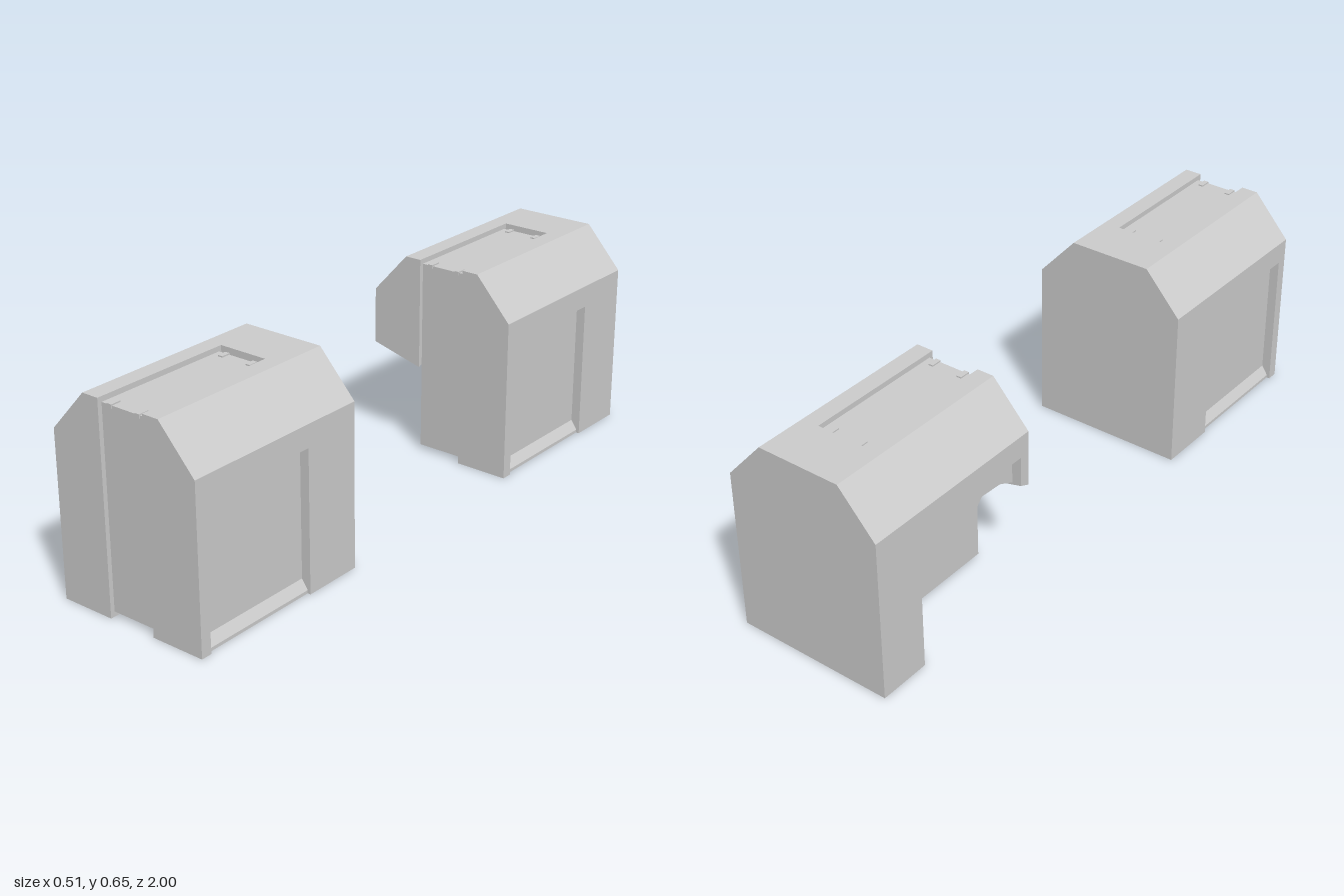
import * as THREE from 'three';
import { mergeGeometries } from 'three/addons/utils/BufferGeometryUtils.js';

const W = 0.255, H = 0.648, SHOULDER_Y = 0.515, TOP_X = 0.135, CORE_X = 0.08;
const SLOT_END = 0.465, LENGTH = 0.63;          // depths measured back from the front face
const BAY_START = 0.035, BAY_END = 0.435;       // side bay
const material = new THREE.MeshStandardMaterial({ color: 0xcccccc, flatShading: true });

// Underside height of the damaged shoulder along the depth
const BREAK = [[0, 0.335], [0.035, 0.35], [0.09, 0.375], [0.17, 0.38], [0.26, 0.28], [0.435, 0.26], [0.465, 0.26]];

// Closed solid between two matching cross-sections
function loft(a, b, d0, d1) {
  let A = a.map(p => new THREE.Vector2(...p)), B = b.map(p => new THREE.Vector2(...p));
  if (THREE.ShapeUtils.isClockWise(A)) { A.reverse(); B.reverse(); }
  const pos = [], n = A.length;
  const put = (p, d) => pos.push(p.x, p.y, -d);
  for (let i = 0; i < n; i++) {
    const j = (i + 1) % n;
    put(A[i], d0); put(B[i], d1); put(B[j], d1);
    put(A[i], d0); put(B[j], d1); put(A[j], d0);
  }
  for (const [i, j, k] of THREE.ShapeUtils.triangulateShape(A, [])) {
    put(A[i], d0); put(A[j], d0); put(A[k], d0);
    put(B[i], d1); put(B[k], d1); put(B[j], d1);
  }
  const g = new THREE.BufferGeometry();
  g.setAttribute('position', new THREE.Float32BufferAttribute(pos, 3));
  g.computeVertexNormals();
  return g;
}

// Cross-section of one shoulder; side is +1 or -1, cut is the broken underside height
function shoulderSection(side, bay, cut) {
  const broken = cut !== undefined;
  const foot = broken ? [[CORE_X, cut - 0.045], [bay ? 0.225 : W, cut]]
    : bay ? [[CORE_X, 0], [0.245, 0], [0.245, 0.01], [0.225, 0.04]]
    : [[CORE_X, 0], [W, 0]];
  const lip = bay ? [[0.225, 0.445], [W, 0.445]] : [];
  return [...foot, ...lip, [W, SHOULDER_Y], [TOP_X, H], [CORE_X, H]].map(([x, y]) => [side * x, y]);
}

function shoulder(side, damaged) {
  const parts = [];
  if (damaged) {
    for (let i = 0; i + 1 < BREAK.length; i++) {
      const [d0, y0] = BREAK[i], [d1, y1] = BREAK[i + 1];
      const bay = d0 >= BAY_START && d1 <= BAY_END;
      parts.push(loft(shoulderSection(side, bay, y0), shoulderSection(side, bay, y1), d0, d1));
    }
  } else {
    for (const [d0, d1, bay] of [[0, BAY_START, false], [BAY_START, BAY_END, true], [BAY_END, SLOT_END, false]]) {
      const s = shoulderSection(side, bay);
      parts.push(loft(s, s, d0, d1));
    }
  }
  return mergeGeometries(parts);
}

function createBlock(name, damaged) {
  const block = new THREE.Group();
  block.name = name;
  const add = (part, geometry, x = 0, y = 0, z = 0) => {
    const mesh = new THREE.Mesh(geometry, material);
    mesh.name = part;
    mesh.position.set(x, y, z);
    block.add(mesh);
  };

  add('leftShoulder', shoulder(1, false));
  add('rightShoulder', shoulder(-1, damaged));

  // Solid rear section
  const rear = [[-W, 0], [W, 0], [W, SHOULDER_Y], [TOP_X, H], [-TOP_X, H], [-W, SHOULDER_Y]];
  add('rearBody', loft(rear, rear, SLOT_END, LENGTH));

  // Inset centre panel, leaving a narrow slit at its back end
  const x = CORE_X, lo = 0.016, hi = 0.632;
  const core = [[-x, lo], [x, lo], [x, hi], [-x, hi]];
  add('centrePanel', loft(core, core, 0.014, 0.456));

  // Small clips at both ends of the panel top
  for (const cx of [-0.05, 0.05]) {
    add('frontClip', new THREE.BoxGeometry(0.016, 0.012, 0.034), cx, 0.63, -0.028);
    add('rearClip', new THREE.BoxGeometry(0.016, 0.012, 0.03), cx, 0.63, -0.443);
  }
  return block;
}

export function createModel() {
  const model = new THREE.Group();
  model.name = 'blockPair';
  const intact = createBlock('intactBlock', false);
  intact.position.z = 1;
  const broken = createBlock('brokenBlock', true);
  broken.position.z = -0.37;
  model.add(intact, broken);
  return model;
}
